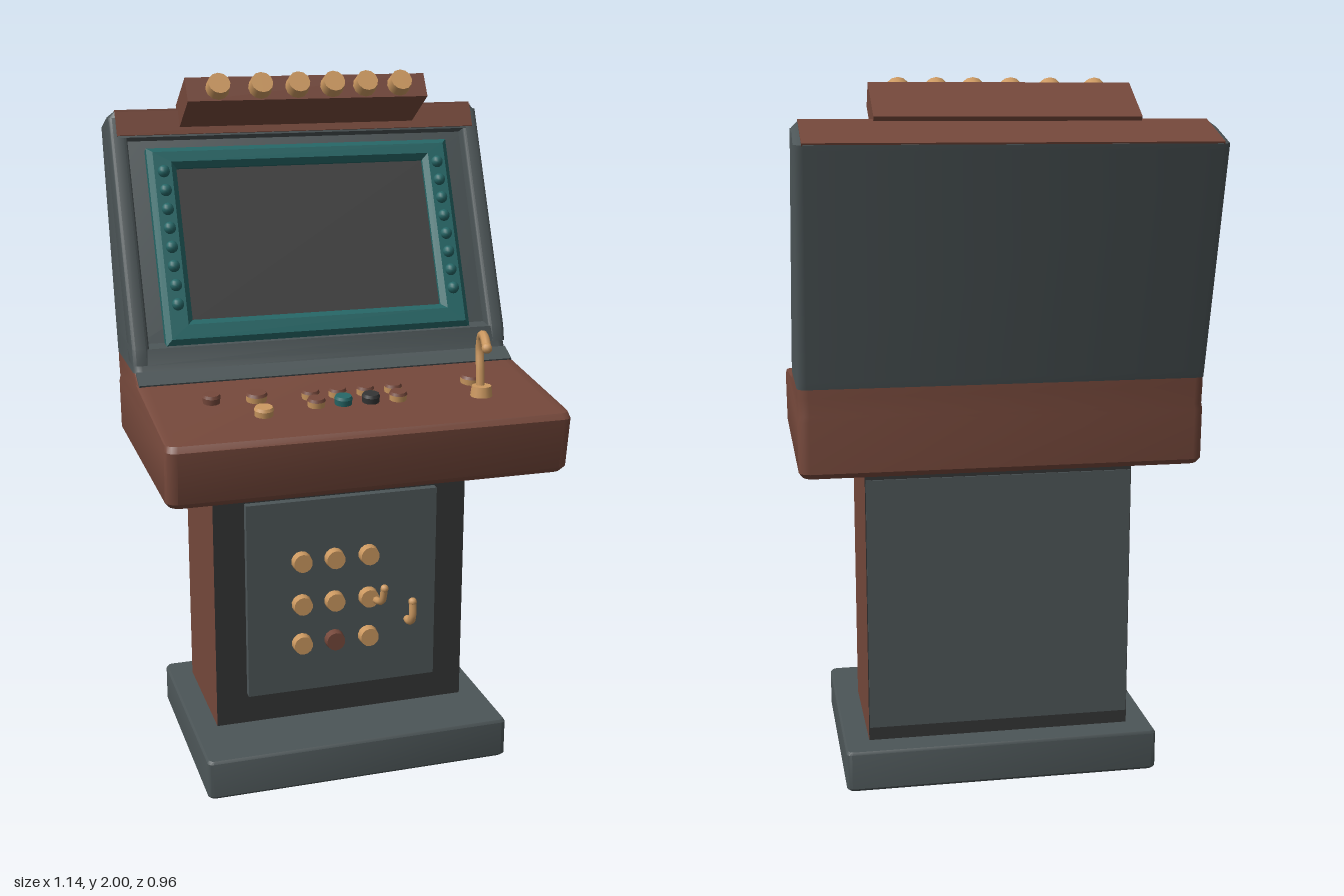
import * as THREE from 'three';
import { toCreasedNormals } from 'three/addons/utils/BufferGeometryUtils.js';

const mat = (name, color) => {
  const m = new THREE.MeshStandardMaterial({ color });
  m.name = name;
  return m;
};

export function createModel() {
  const root = new THREE.Group();
  const brown = mat('brown paint', 0x75483b);
  const grey = mat('slate grey', 0x4c5557);
  const dark = mat('charcoal', 0x333434);
  const glass = mat('screen grey', 0x424242);
  const teal = mat('teal', 0x266767);
  const tan = mat('tan brass', 0xcb9860);

  const add = (name, geo, material, parent = root) => {
    const m = new THREE.Mesh(geo, material);
    m.name = name;
    parent.add(m);
    return m;
  };

  // Stack of rounded rectangles [y, zFront, zBack, halfWidth]; bottom cap is group 1
  function loft(levels, r, cx = 0) {
    const rings = levels.map(([y, zf, zb, w]) => {
      const k = Math.min(r, (zf - zb) * 0.45, w * 0.45), pts = [];
      [[1, 1], [-1, 1], [-1, -1], [1, -1]].forEach(([sx, sz], c) => {
        for (let i = 0; i <= 3; i++) {
          const a = (c + i / 3) * Math.PI / 2;
          pts.push([cx + sx * (w - k) + k * Math.cos(a), y, (sz > 0 ? zf - k : zb + k) + k * Math.sin(a)]);
        }
      });
      return pts;
    });
    const v = [], n = rings[0].length;
    const tri = (...p) => p.forEach(q => v.push(...q));
    for (let l = 0; l < rings.length - 1; l++)
      for (let j = 0; j < n; j++) {
        const A = rings[l], B = rings[l + 1], q = (j + 1) % n;
        tri(A[j], B[j], A[q]);
        tri(B[j], B[q], A[q]);
      }
    const top = rings[rings.length - 1], bot = rings[0];
    for (let j = 1; j < n - 1; j++) tri(top[0], top[j + 1], top[j]);
    const count = v.length / 3;
    for (let j = 1; j < n - 1; j++) tri(bot[0], bot[j], bot[j + 1]);
    const g = new THREE.BufferGeometry();
    g.setAttribute('position', new THREE.Float32BufferAttribute(v, 3));
    const out = toCreasedNormals(g, 0.6);
    out.addGroup(0, count, 0);
    out.addGroup(count, v.length / 3 - count, 1);
    return out;
  }

  // Thin sheet between two (z, y) points
  function plate(name, z0, y0, z1, y1, width, material) {
    const dz = z1 - z0, dy = y1 - y0;
    const m = add(name, new THREE.BoxGeometry(width, 0.008, Math.hypot(dz, dy)), material);
    m.position.set(0, (y0 + y1) / 2, (z0 + z1) / 2);
    m.rotation.x = -Math.atan2(dy, dz);
  }

  // Plinth and pedestal
  add('plinth', loft([[0, 0.35, -0.3, 0.45], [0.008, 0.357, -0.306, 0.457],
    [0.112, 0.357, -0.306, 0.457], [0.12, 0.352, -0.302, 0.452]], 0.015), [grey, grey]);
  const ped = add('pedestal', new THREE.BoxGeometry(0.77, 0.83, 0.375),
    [brown, brown, dark, dark, dark, dark]);
  ped.position.set(0, 0.525, -0.0375);
  add('pedestalBackPanel', new THREE.BoxGeometry(0.765, 0.74, 0.008), grey).position.set(0, 0.53, -0.226);

  // Pedestal door with studs and hooked handles
  add('door', new THREE.BoxGeometry(0.58, 0.6, 0.03), grey).position.set(-0.003, 0.515, 0.16);
  [0.63, 0.495, 0.37].forEach((y, r) => [-0.13, -0.03, 0.075].forEach((x, c) => {
    const s = add('doorStud', new THREE.CylinderGeometry(0.028, 0.031, 0.03, 14), r === 2 && c === 1 ? brown : tan);
    s.rotation.x = Math.PI / 2;
    s.position.set(x, y, 0.185);
  }));
  const rod = (name, pts, r) => add(name, new THREE.TubeGeometry(
    new THREE.CatmullRomCurve3(pts.map(p => new THREE.Vector3(...p))), 20, r, 8), tan);
  const tip = (x, y, z, r) => add('rodTip', new THREE.SphereGeometry(r, 10, 8), tan).position.set(x, y, z);
  rod('doorHandle', [[0.09, 0.49, 0.17], [0.095, 0.492, 0.215], [0.098, 0.505, 0.24], [0.1, 0.548, 0.255]], 0.011);
  tip(0.1, 0.548, 0.255, 0.012);
  rod('doorLatch', [[0.2, 0.405, 0.165], [0.2, 0.408, 0.2], [0.2, 0.43, 0.222], [0.2, 0.48, 0.222]], 0.012);
  tip(0.2, 0.48, 0.222, 0.013);

  // Control deck
  add('controlDeck', loft([[0.93, 0.45, -0.305, 0.56], [0.945, 0.462, -0.316, 0.57], [1.09, 0.48, -0.317, 0.571],
    [1.105, 0.466, -0.317, 0.568], [1.155, 0.05, -0.317, 0.57], [1.18, 0.0, -0.318, 0.57]], 0.03), [brown, grey]);
  plate('deckCove', 0.05, 1.156, -0.002, 1.182, 1.13, grey);

  // Head with a recessed front
  const front = y => -0.025 - 0.449 * (y - 1.25);
  const back = y => -0.318 - 0.245 * (y - 1.18);
  const lv = (y, z) => [y, z, back(y), 0.57];
  add('head', loft([lv(1.18, 0), lv(1.2, -0.012), lv(1.245, -0.024), lv(1.25, -0.07), lv(1.8, front(1.8) - 0.045),
    lv(1.815, front(1.815)), lv(1.83, front(1.83)), [1.87, front(1.87), -0.367, 0.568],
    [1.886, -0.312, -0.326, 0.552]], 0.025), [grey, grey]);
  for (const s of [1, -1]) {
    const cheek = [1.2, 1.245, 1.83, 1.87].map(y => [y, y < 1.22 ? -0.012 : front(y), front(y) - 0.1, 0.025]);
    cheek[3][2] = front(1.87) - 0.04;
    add('headCheek', loft(cheek, 0.01, s * 0.545), [grey, grey]);
  }
  plate('headTop', -0.313, 1.888, -0.477, 1.831, 1.1, brown);
  plate('headBrow', front(1.82), 1.82, front(1.885), 1.885, 1.1, brown);

  // Screen, bezel and bezel buttons on the sloping front
  const slope = Math.hypot(1, 0.449);
  const face = new THREE.Group();
  face.name = 'screenAssembly';
  face.position.set(0, 1.52, front(1.52));
  face.rotation.x = -Math.atan(0.449);
  root.add(face);
  const rect = (T, x0, x1, y0, y1) => new T([[x0, y0], [x1, y0], [x1, y1], [x0, y1]]
    .map(([x, y]) => new THREE.Vector2(x, (y - 1.52) * slope)));
  const frame = rect(THREE.Shape, -0.452, 0.447, 1.266, 1.774);
  frame.holes.push(rect(THREE.Path, -0.4, 0.395, 1.304, 1.746));
  const bezel = add('bezel', new THREE.ExtrudeGeometry(frame, {
    depth: 0.03, bevelThickness: 0.015, bevelSize: 0.016, bevelSegments: 1 }), teal, face);
  bezel.position.z = -0.045;
  add('screen', new THREE.BoxGeometry(0.84, 0.5, 0.03), glass, face).position.set(-0.002, 0.005, -0.04);
  for (const x of [-0.425, 0.42])
    for (let i = 0; i < 8; i++) {
      const b = add('bezelButton', new THREE.SphereGeometry(0.018, 12, 8), teal, face);
      b.position.set(x, (1.72 - i * 0.0515 - 1.52) * slope, 0.002);
    }

  // Deck buttons: [x, z, radius, cap, base]
  const deckY = z => 1.155 - 0.12 * (z - 0.05);
  [[-0.39, 0.195, 0.026, brown, brown], [-0.265, 0.205, 0.031, brown, tan], [-0.27, 0.31, 0.028, tan, tan],
    [0.375, 0.197, 0.032, brown, tan],
    ...[-0.113, -0.035, 0.047, 0.13].map(x => [x, 0.217, 0.026, brown, tan]),
    [-0.113, 0.277, 0.026, brown, tan], [-0.035, 0.277, 0.026, teal, teal],
    [0.045, 0.277, 0.026, dark, dark], [0.125, 0.277, 0.026, brown, tan]].forEach(([x, z, r, cap, base]) => {
    const g = new THREE.Group();
    g.name = 'deckButton';
    g.position.set(x, deckY(z), z);
    g.rotation.x = 0.12;
    root.add(g);
    add('buttonBase', new THREE.CylinderGeometry(r * 0.96, r * 0.9, 0.03, 16), base, g).position.y = 0.003;
    add('buttonCap', new THREE.CylinderGeometry(r * 0.85, r, 0.008, 16), cap, g).position.y = 0.021;
  });

  // Hooked control lever
  add('leverBase', new THREE.CylinderGeometry(0.028, 0.032, 0.03, 14), tan).position.set(0.368, 1.139, 0.297);
  rod('lever', [[0.368, 1.13, 0.29], [0.368, 1.2, 0.283], [0.369, 1.262, 0.274], [0.366, 1.298, 0.292],
    [0.358, 1.304, 0.33], [0.348, 1.282, 0.375]], 0.013);
  tip(0.348, 1.282, 0.375, 0.015);

  // Tilted lamp bar
  const bar = new THREE.Group();
  bar.name = 'lampBar';
  bar.position.set(-0.005, 1.911, -0.244);
  bar.rotation.x = -0.557;
  root.add(bar);
  add('lampBarBody', new THREE.BoxGeometry(0.72, 0.075, 0.17), brown, bar);
  for (const x of [-0.27, -0.145, -0.035, 0.07, 0.17, 0.275]) {
    const lamp = add('lamp', new THREE.CylinderGeometry(0.032, 0.035, 0.04, 12), tan, bar);
    lamp.rotation.x = Math.PI / 2;
    lamp.position.set(x, 0, 0.1);
  }
  return root;
}
